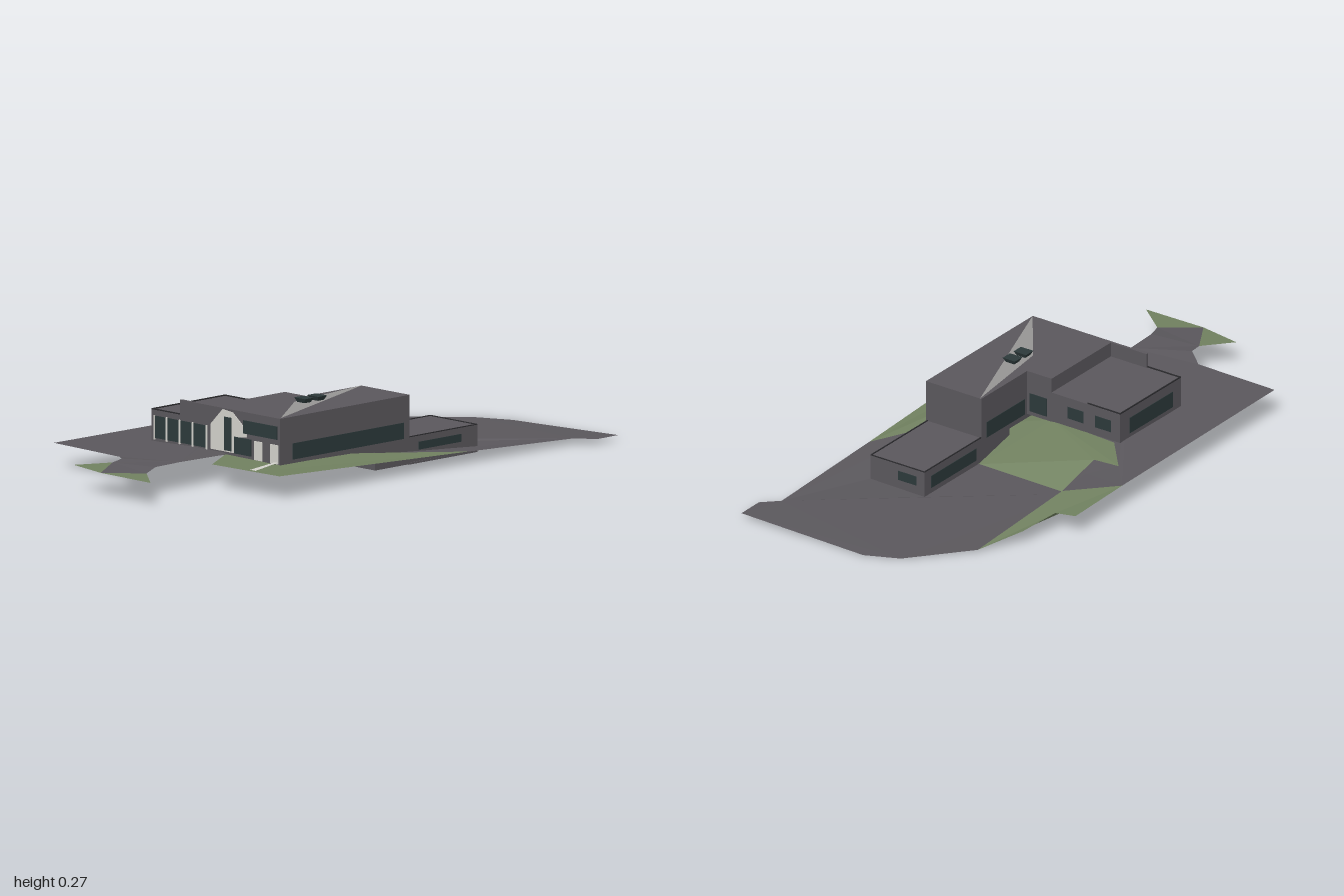
import * as THREE from 'three';

const mat = (name, color, side = THREE.FrontSide) => {
  const m = new THREE.MeshStandardMaterial({ color, side });
  m.name = name;
  return m;
};

export function createModel() {
  const grey = mat('dark grey cladding', 0x5a575c);
  const paving = mat('grey paving', 0x5a575c, THREE.DoubleSide);
  const grass = mat('grass', 0x70805f, THREE.DoubleSide);
  const glass = mat('dark glass', 0x2c393a);
  const white = mat('white render', 0xd2d1cb);
  const light = mat('light grey roof', 0x969594);
  const edge = mat('dark trim', 0x2b2b2e);
  const model = new THREE.Group();

  // Ground patch from an outline of [x, y, z] corners
  function patch(name, material, pts) {
    const outline = pts.map(([x, , z]) => new THREE.Vector2(x, -z));
    const faces = THREE.ShapeUtils.triangulateShape(outline, []);
    const pos = [];
    for (const f of faces) {
      const [a, b, c] = f.map(i => new THREE.Vector3(...pts[i]));
      const up = b.clone().sub(a).cross(c.clone().sub(a)).y > 0;
      for (const v of up ? [a, b, c] : [a, c, b]) pos.push(v.x, v.y, v.z);
    }
    const g = new THREE.BufferGeometry();
    g.setAttribute('position', new THREE.Float32BufferAttribute(pos, 3));
    g.computeVertexNormals();
    const mesh = new THREE.Mesh(g, material);
    mesh.name = name;
    model.add(mesh);
  }

  // Upper level, lower terrace and the approach road
  patch('upperPaving', paving, [
    [-.79, .092, .49], [-.475, .09, .615], [-.43, .1, .69], [-.215, .1, .655], [-.155, .09, .42],
    [-.1, .088, .055], [-.36, .088, -.06], [-.425, .085, -.23], [-.325, .08, -.195],
    [-.325, .075, -.3], [-.28, .07, -.445], [-.48, .085, -.375]]);
  patch('lowerTerrace', paving, [
    [-.275, .005, -.335], [.095, .005, -.195], [.21, .005, -.5], [.425, .008, -.41], [.675, .022, -.7],
    [.75, .02, -.73], [.785, .02, -.83], [.29, .004, -1], [.155, .004, -.99], [-.09, .01, -.86], [-.235, .005, -.45]]);
  patch('underWing', paving, [[.095, .005, -.195], [.315, .01, -.085], [.425, .008, -.41], [.21, .005, -.5]]);
  patch('terraceSide', paving, [
    [.3, .055, -.04], [.495, .045, -.21], [.675, .022, -.7], [.425, .008, -.41], [.315, .03, -.085]]);
  patch('retainingSlope', paving, [
    [-.325, .08, -.195], [-.275, .005, -.335], [-.235, .005, -.45], [-.09, .01, -.86], [-.28, .07, -.445], [-.325, .075, -.3]]);
  patch('approachRoad', paving, [
    [-.43, .1, .69], [-.215, .1, .655], [-.255, .1, .78], [-.255, .09, .855], [-.41, .088, .905], [-.44, .095, .745]]);

  // Grass
  patch('westBank', grass, [
    [-.48, .085, -.375], [-.28, .07, -.445], [-.09, .01, -.86], [-.225, .05, -.75], [-.305, .07, -.62], [-.385, .078, -.64]]);
  patch('courtyard', grass, [
    [-.36, .088, -.06], [-.425, .085, -.23], [-.325, .08, -.195], [-.275, .005, -.335], [.095, .005, -.195],
    [.025, .06, .06], [-.1, .088, .055]]);
  patch('slopeUnderHouse', grass, [[.095, .005, -.195], [.315, .03, -.085], [.3, .055, -.04], [.2, .085, .2], [.025, .06, .06]]);
  patch('eastLawn', grass, [
    [-.155, .09, .42], [-.13, .085, .58], [.065, .088, .655], [.18, .085, .68], [.495, .045, -.21],
    [.3, .055, -.04], [.2, .085, .2], [.025, .06, .06], [-.1, .088, .055]]);
  patch('roadVergeRight', grass, [[-.255, .09, .855], [-.175, .086, .99], [-.41, .088, .905]]);
  patch('roadVergeLeft', grass, [[-.44, .095, .745], [-.41, .088, .905], [-.555, .09, .82]]);
  patch('frontPath', mat('white path', 0xd2d1cb, THREE.DoubleSide), [
    [.052, .093, .652], [.078, .093, .66], [.092, .096, .5], [.078, .096, .495]]);

  // House, turned on its plot
  const house = new THREE.Group();
  house.name = 'house';
  house.rotation.y = -Math.PI / 9;
  model.add(house);

  function box(name, material, x0, x1, y0, y1, z0, z1) {
    const m = new THREE.Mesh(new THREE.BoxGeometry(x1 - x0, y1 - y0, z1 - z0), material);
    m.position.set((x0 + x1) / 2, (y0 + y1) / 2, (z0 + z1) / 2);
    m.name = name;
    house.add(m);
  }
  const T = .004;
  const onZ = (name, m, z, x0, x1, y0, y1, t = T) => box(name, m, x0, x1, y0, y1, z - t / 2, z + t / 2);
  const onX = (name, m, x, z0, z1, y0, y1, t = T) => box(name, m, x - t / 2, x + t / 2, y0, y1, z0, z1);

  // Volumes
  box('mainBlock', grey, .026, .267, .07, .254, -.2, .44);
  box('mainBasement', grey, .026, .267, .005, .07, -.2, -.03);
  box('middleBlock', grey, -.08, .026, .085, .254, .075, .44);
  box('westWing', grey, -.379, -.08, .085, .2, .075, .44);
  box('frontParapet', grey, -.235, -.08, .2, .254, .43, .44);
  box('backWing', grey, .026, .262, .002, .1, -.54, -.2);

  // Roof edge trims
  for (const z of [.078, .437]) onZ('westRoofTrim', edge, z, -.379, -.235, .2, .204);
  onX('westRoofTrim', edge, -.377, .075, .44, .2, .204);
  for (const x of [.028, .26]) onX('backRoofTrim', edge, x, -.54, -.2, .1, .103);
  onZ('backRoofTrim', edge, -.538, .026, .262, .1, .103);

  // Glazing of the west wing, with light posts
  onZ('westFrontGlass', glass, .44, -.36, -.1, .1, .18);
  for (const x of [-.362, -.3, -.235, -.17, -.1]) onZ('westPost', white, .441, x - .003, x + .003, .095, .182, .007);
  onX('westSideGlass', glass, -.379, .13, .39, .105, .165);
  for (const x of [-.34, -.22]) onZ('westBackGlass', glass, .075, x, x + .07, .12, .165);

  // Front of the tall part: white entrance, tall window and strips
  const gable = new THREE.Shape([[-.08, .1], [.06, .1], [.06, .16], [.1, .165], [.1, .19], [.03, .245], [-.02, .25], [-.08, .19]]
    .map(p => new THREE.Vector2(...p)));
  const entrance = new THREE.Mesh(new THREE.ExtrudeGeometry(gable, { depth: .003, bevelEnabled: false }), white);
  entrance.name = 'whiteEntrance';
  entrance.position.z = .44;
  house.add(entrance);
  onZ('tallWindow', glass, .444, -.01, .025, .105, .225);
  onZ('upperFrontGlass', glass, .444, .085, .255, .178, .225);
  onZ('lowerFrontGlass', glass, .444, .04, .125, .1, .16);
  for (const x of [.14, .22]) onZ('whitePanel', white, .443, x, x + .04, .09, .158);

  // Side and rear glazing
  onX('eastGlass', glass, .267, -.17, .38, .1, .158);
  onX('courtyardGlass', glass, .026, -.17, .06, .09, .15);
  onZ('middleBackGlass', glass, .075, -.06, .015, .1, .17);
  onX('wingEastGlass', glass, .262, -.46, -.25, .05, .078);
  onX('wingWestGlass', glass, .026, -.5, -.23, .025, .072);
  onZ('wingBackGlass', glass, -.54, .06, .14, .04, .075);

  // Light facet of the roof
  patch('lightRoofFacet', light, [[.097, .256, -.18], [.012, .256, .2], [.1, .256, .5]]);

  // Flared skylights
  for (const [x, z] of [[.068, .133], [.045, .193]]) {
    const g = new THREE.CylinderGeometry(.038, .026, .016, 4, 1).rotateY(Math.PI / 4);
    const s = new THREE.Mesh(g.toNonIndexed(), glass);
    s.geometry.computeVertexNormals();
    s.name = 'skylight';
    s.position.set(x, .264, z);
    s.rotation.y = -Math.PI / 9;
    s.scale.z = .82;
    model.add(s);
  }
  return model;
}
